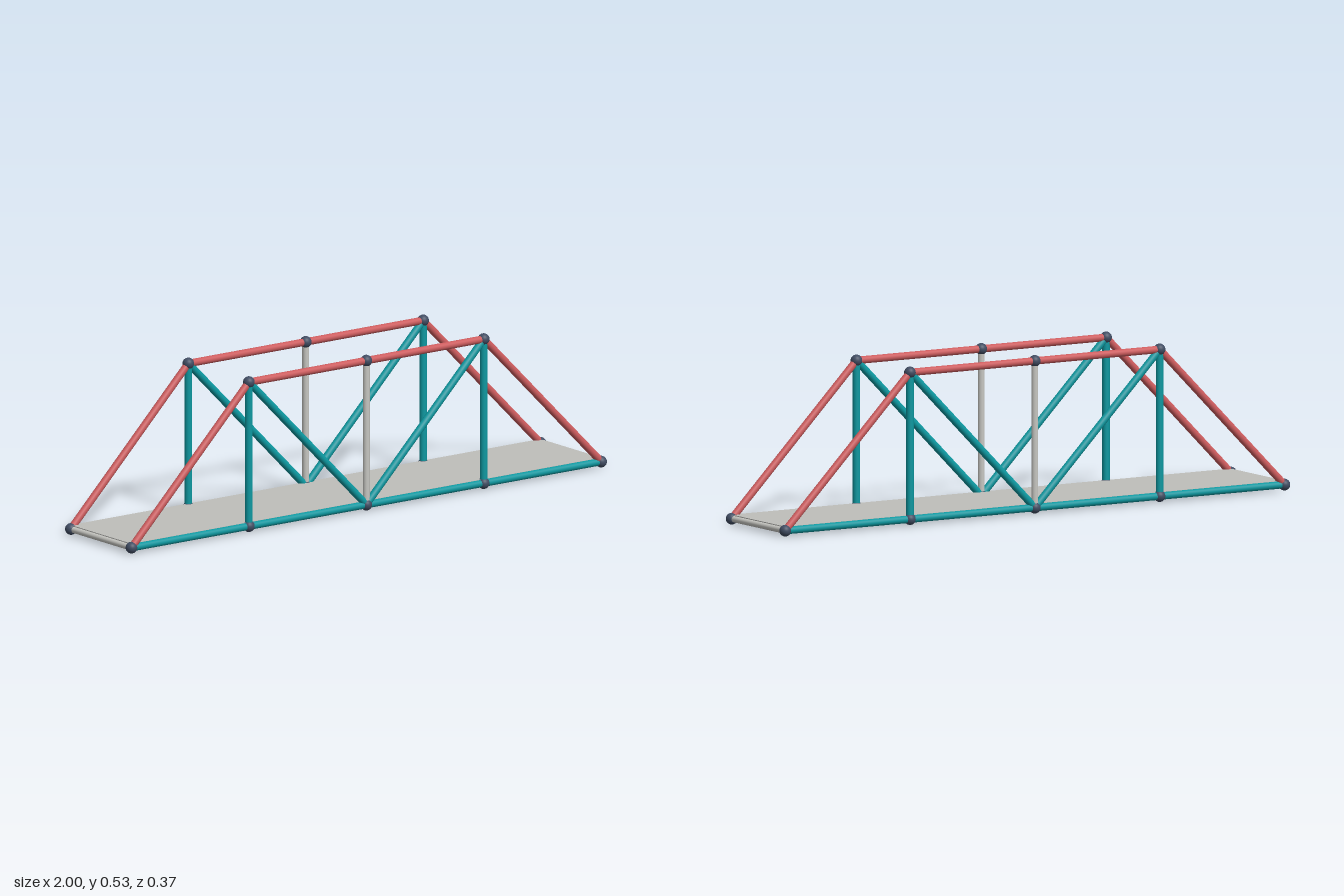
import * as THREE from 'three';

export function createModel() {
  const bridge = new THREE.Group();
  bridge.name = 'trussBridge';

  const material = (name, color) => {
    const m = new THREE.MeshStandardMaterial({ color });
    m.name = name;
    return m;
  };
  const red = material('compressionRed', 0xcd5c5e);
  const teal = material('tensionTeal', 0x0d98a0);
  const grey = material('neutralGrey', 0xc6c6c1);
  const deckGrey = material('deckGrey', 0xbebeba);
  const slate = material('jointSlate', 0x414d63);

  const R = 0.0195;          // joint radius
  const BAY = 0.4903;        // panel length and truss height
  const LOW = R;             // bottom chord height
  const HIGH = R + BAY;      // top chord height
  const SIDE = 0.164;        // truss plane offset from the centre

  // Round bar between two points
  const up = new THREE.Vector3(0, 1, 0);
  function bar(parent, name, a, b, mat, radius = 0.0125) {
    const dir = b.clone().sub(a);
    const mesh = new THREE.Mesh(new THREE.CylinderGeometry(radius, radius, dir.length(), 20), mat);
    mesh.position.copy(a).add(b).multiplyScalar(0.5);
    mesh.quaternion.setFromUnitVectors(up, dir.normalize());
    mesh.name = name;
    parent.add(mesh);
  }

  // Two identical side trusses
  const jointGeometry = new THREE.SphereGeometry(R, 24, 16);
  for (const s of [1, -1]) {
    const truss = new THREE.Group();
    truss.name = s > 0 ? 'frontTruss' : 'backTruss';
    const low = i => new THREE.Vector3(i * BAY, LOW, s * SIDE);
    const high = i => new THREE.Vector3(i * BAY, HIGH, s * SIDE);

    for (let i = -2; i < 2; i++) bar(truss, 'bottomChord', low(i), low(i + 1), teal);
    for (const d of [-1, 1]) {
      bar(truss, 'topChord', high(0), high(d), red);
      bar(truss, 'endPost', low(2 * d), high(d), red);
      bar(truss, 'hanger', low(d), high(d), teal);
      bar(truss, 'diagonal', high(d), low(0), teal);
    }
    bar(truss, 'centrePost', low(0), high(0), grey, 0.0115);

    // Ball joints
    for (const p of [-2, -1, 0, 1, 2].map(low).concat([-1, 0, 1].map(high))) {
      const joint = new THREE.Mesh(jointGeometry, slate);
      joint.position.copy(p);
      joint.name = 'joint';
      truss.add(joint);
    }
    bridge.add(truss);
  }

  // Cross beams under the deck
  for (let i = -2; i <= 2; i++) {
    bar(bridge, 'floorBeam', new THREE.Vector3(i * BAY, LOW, -SIDE),
      new THREE.Vector3(i * BAY, LOW, SIDE), grey, 0.0105);
  }

  // Thin road deck resting on the beams
  const deck = new THREE.Mesh(new THREE.BoxGeometry(4 * BAY, 0.003, 2 * SIDE), deckGrey);
  deck.position.y = LOW + 0.012;
  deck.name = 'deck';
  bridge.add(deck);

  return bridge;
}
